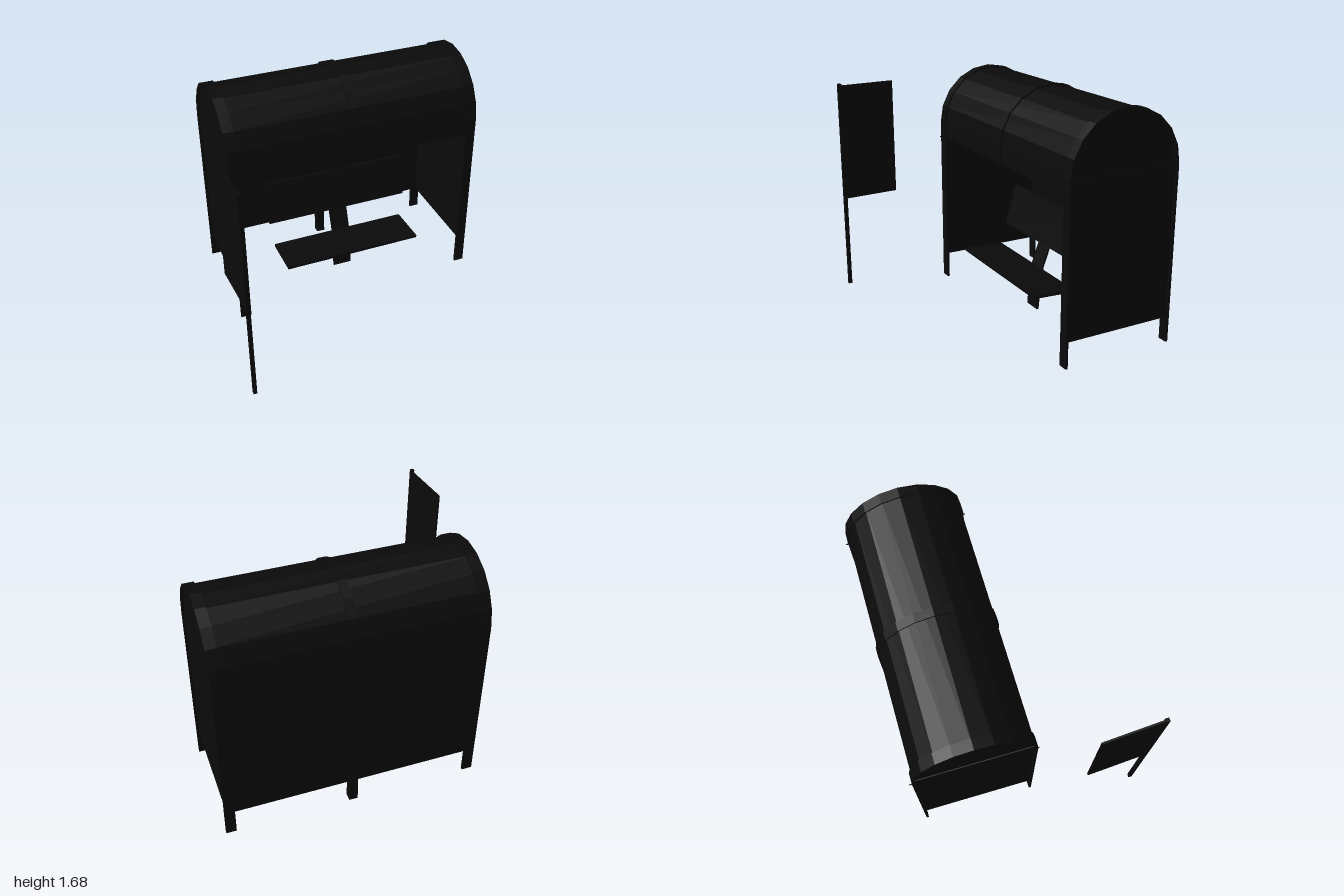
import * as THREE from 'three';

const mat = new THREE.MeshStandardMaterial({ color: 0x0a0a0a, flatShading: true });
const CZ = -0.375, SPRING = 1.265, EAVE = 1.155; // arch centre and roof heights

function add(group, name, geometry) {
  const mesh = new THREE.Mesh(geometry, mat);
  mesh.name = name;
  group.add(mesh);
  return mesh;
}

// Box given by its limits on each axis
function box(group, name, x0, x1, y0, y1, z0, z1) {
  const mesh = add(group, name, new THREE.BoxGeometry(x1 - x0, y1 - y0, z1 - z0));
  mesh.position.set((x0 + x1) / 2, (y0 + y1) / 2, (z0 + z1) / 2);
  return mesh;
}

// Extrude a (z, y) outline along x from x0 to x1
function profile(group, name, points, x0, x1) {
  const geometry = new THREE.ExtrudeGeometry(new THREE.Shape(points), { depth: x1 - x0, bevelEnabled: false });
  geometry.rotateY(-Math.PI / 2).translate(x1, 0, 0);
  return add(group, name, geometry);
}

// Ten-sided half arch with straight legs, front to back
function archLine(r, yFront, yBack) {
  const points = [new THREE.Vector2(CZ + r, yFront)];
  for (let i = 0; i <= 10; i++) {
    const a = (i / 10) * Math.PI;
    points.push(new THREE.Vector2(CZ + r * Math.cos(a), SPRING + r * Math.sin(a)));
  }
  points.push(new THREE.Vector2(CZ - r, yBack));
  return points;
}

function archStrip(group, name, rOut, rIn, yFront, yBack, x0, x1) {
  const points = [...archLine(rOut, yFront, yBack), ...archLine(rIn, yFront, yBack).reverse()];
  return profile(group, name, points, x0, x1);
}

// Thin sheet following (z, y) points
function sheet(group, name, line, t, x0, x1) {
  const front = line.map(([z, y]) => new THREE.Vector2(z + t / 2, y));
  const back = line.map(([z, y]) => new THREE.Vector2(z - t / 2, y)).reverse();
  return profile(group, name, [...front, ...back], x0, x1);
}

export function createModel() {
  const model = new THREE.Group();
  model.name = 'busShelter';

  // Frames: two full end hoops and a middle rib with a rear leg only
  const shelter = new THREE.Group();
  shelter.name = 'shelter';
  model.add(shelter);
  archStrip(shelter, 'rightFrame', 0.415, 0.398, 0, 0, -0.84, -0.765);
  archStrip(shelter, 'leftFrame', 0.415, 0.398, 0, 0, 0.918, 0.99);
  archStrip(shelter, 'middleFrame', 0.415, 0.398, EAVE, 0, 0.045, 0.107);
  box(shelter, 'middleRearPost', 0.045, 0.107, 0, 0.44, -0.788, -0.735);

  // Roof and back wall
  archStrip(shelter, 'roof', 0.404, 0.392, EAVE, EAVE, -0.83, 0.98);
  box(shelter, 'backWall', -0.82, 0.97, 0.18, EAVE, -0.782, -0.77);

  // End walls, arched gables, eave bands and tie rods
  for (const [side, x] of [['right', -0.815], ['left', 0.967]]) {
    box(shelter, side + 'EndWall', x - 0.006, x + 0.006, 0.18, EAVE, -0.782, 0.018);
    profile(shelter, side + 'Gable', archLine(0.4, EAVE, EAVE), x - 0.006, x + 0.006);
    box(shelter, side + 'EaveBand', x - 0.012, x + 0.012, EAVE, SPRING, -0.778, 0.026);
    box(shelter, side + 'TieRod', x - 0.003, x + 0.003, EAVE - 0.003, EAVE + 0.003, -0.81, 0.06);
  }

  // Bench: seat board, leaning backrest and a bent support
  const bench = new THREE.Group();
  bench.name = 'bench';
  model.add(bench);
  profile(bench, 'seat', [[0.028, 0.325], [0.028, 0.345], [-0.29, 0.33], [-0.29, 0.31]]
    .map(([z, y]) => new THREE.Vector2(z, y)), -0.46, 0.57);
  sheet(bench, 'backrest', [[-0.345, 0.49], [-0.43, 0.785]], 0.018, -0.475, 0.62);
  sheet(bench, 'support', [[-0.262, 0.012], [-0.276, 0.18], [-0.298, 0.33], [-0.355, 0.49], [-0.425, 0.72]],
    0.015, 0.005, 0.145);

  // Free-standing notice board on a slim pole
  const sign = new THREE.Group();
  sign.name = 'sign';
  model.add(sign);
  box(sign, 'signPole', -0.985, -0.96, 0.02, 1.605, 0.783, 0.809);
  const board = box(sign, 'signBoard', -0.99, -0.977, 0.72, 1.592, 0.372, 0.81);
  board.rotation.y = 0.06;

  return model;
}
